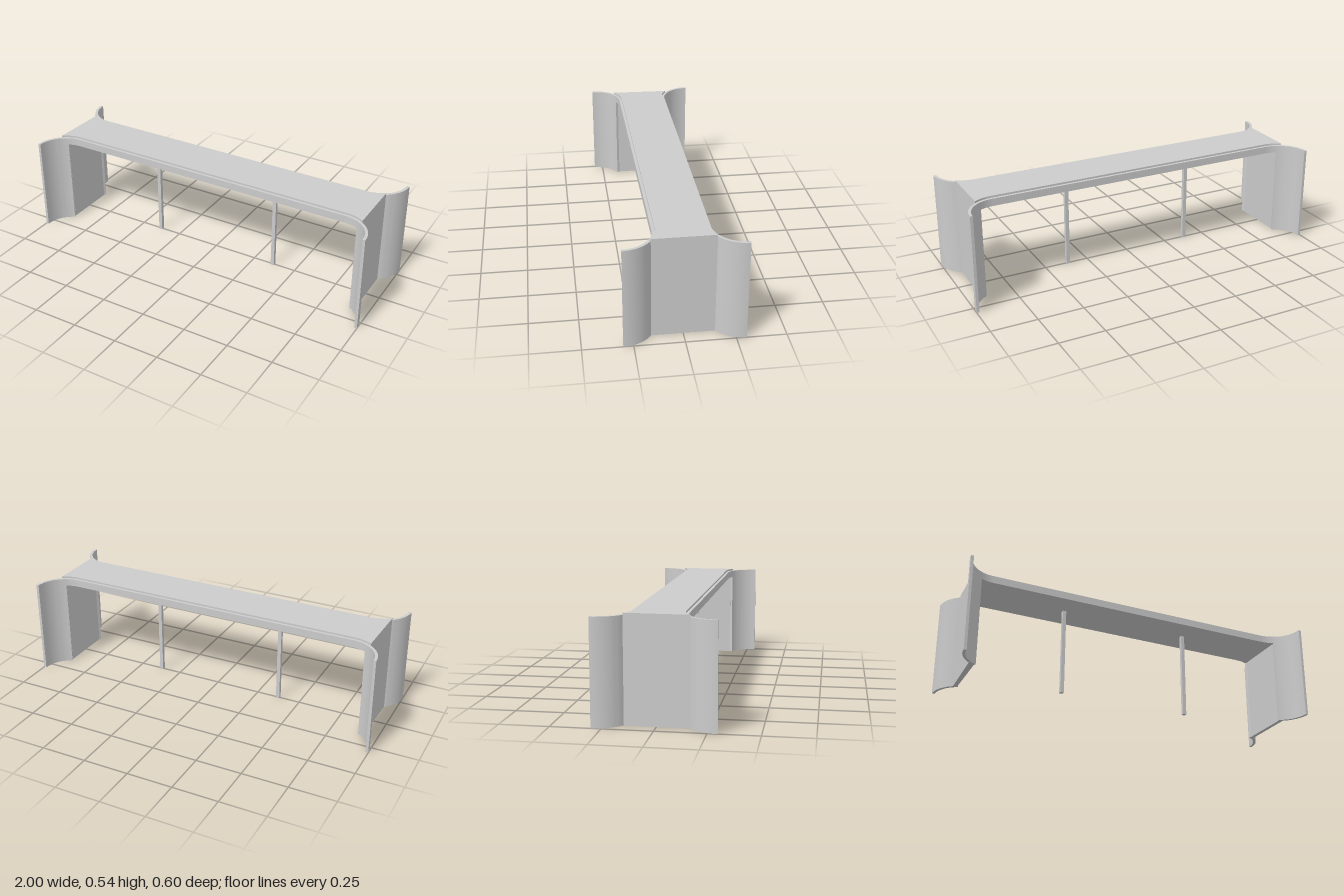
import * as THREE from 'three';
import { toCreasedNormals } from 'three/addons/utils/BufferGeometryUtils.js';

const material = new THREE.MeshStandardMaterial({ color: 0xcccccc });
const UNDER = 0.49, RIM_TOP = 0.53, DECK_TOP = 0.54;
// Corner arcs: centre, radius on the deck side and on the outer side
const CX = 0.827, CZ = 0.3, R_DECK = 0.173, R_OUT = 0.158;
const SPLIT = 0.458; // angle where the wing wall begins

// Points along one corner arc; t = 0 at the straight side, PI / 2 at the wing tip
function arc(r, t0, t1, sx, sz, n = 16) {
  return Array.from({ length: n + 1 }, (_, i) => {
    const t = t0 + (t1 - t0) * i / n;
    return new THREE.Vector2(sx * (CX + r * Math.sin(t)), sz * (CZ - r * Math.cos(t)));
  });
}

// Raises a floor-plan outline (x, z) from y0 to y1
function raise(name, points, y0, y1) {
  const shape = new THREE.Shape(points.map(p => new THREE.Vector2(p.x, -p.y)));
  const geo = new THREE.ExtrudeGeometry(shape, { depth: y1 - y0, bevelEnabled: false });
  geo.rotateX(-Math.PI / 2).translate(0, y0, 0);
  const mesh = new THREE.Mesh(toCreasedNormals(geo, 0.5), material);
  mesh.name = name;
  return mesh;
}

// Angle at which the deck-side arc reaches a given |x|
const angleAt = x => Math.asin((x - CX) / R_DECK);

export function createModel() {
  const group = new THREE.Group();
  group.name = 'bench';

  // Deck: flared towards its ends, one end very slightly skewed
  const ends = { right: 0.925, leftFront: 0.935, leftBack: 0.925 };
  group.add(raise('deck', [
    ...arc(R_DECK, 0, angleAt(ends.right), 1, 1),
    ...arc(R_DECK, angleAt(ends.right), 0, 1, -1),
    ...arc(R_DECK, 0, angleAt(ends.leftBack), -1, -1),
    ...arc(R_DECK, angleAt(ends.leftFront), 0, -1, 1),
  ], UNDER, DECK_TOP));

  for (const sz of [1, -1]) {
    // Thin rim along each long side
    group.add(raise('sideRim', [
      ...arc(R_DECK, SPLIT, 0, -1, sz),
      ...arc(R_DECK, 0, SPLIT, 1, sz),
      ...arc(R_OUT, SPLIT, 0, 1, sz),
      ...arc(R_OUT, 0, SPLIT, -1, sz),
    ], UNDER, RIM_TOP));

    // Curved wing walls at the corners
    for (const sx of [1, -1]) {
      group.add(raise('wingWall', [
        ...arc(R_DECK, SPLIT, Math.PI / 2, sx, sz),
        ...arc(R_OUT, Math.PI / 2, SPLIT, sx, sz),
      ], 0, RIM_TOP));
    }
  }

  // End walls under the deck, fitted between the wing walls
  for (const sx of [1, -1]) {
    const front = angleAt(sx > 0 ? ends.right : ends.leftFront);
    const back = angleAt(sx > 0 ? ends.right : ends.leftBack);
    const inner = angleAt(0.903);
    group.add(raise('endWall', [
      ...arc(R_DECK, inner, front, sx, 1, 6),
      ...arc(R_DECK, back, inner, sx, -1, 6),
    ], 0, UNDER));
  }

  // Slim posts on the centre line
  for (const x of [-0.375, 0.367]) {
    const post = new THREE.Mesh(new THREE.BoxGeometry(0.02, UNDER, 0.02), material);
    post.position.set(x, UNDER / 2, 0);
    post.name = 'post';
    group.add(post);
  }
  return group;
}
